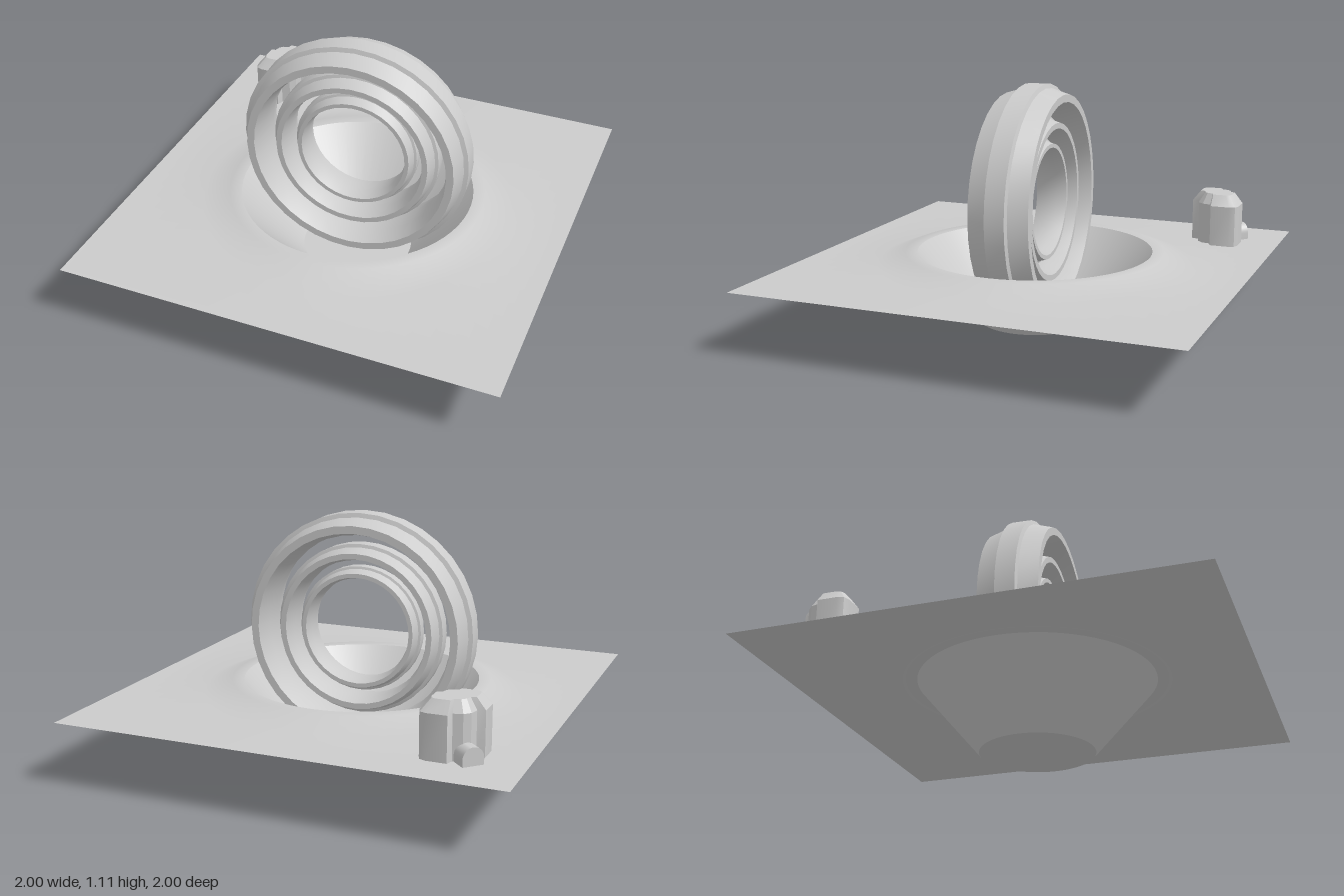
import * as THREE from 'three';
import { toCreasedNormals } from 'three/addons/utils/BufferGeometryUtils.js';

const grey = new THREE.MeshStandardMaterial({ color: 0xcccccc });
const greySheet = new THREE.MeshStandardMaterial({ color: 0xcccccc, side: THREE.DoubleSide });
const PLATE_Y = 0.285, RIM_Y = 0.335;

function addMesh(parent, name, geometry, material = grey) {
  const mesh = new THREE.Mesh(geometry, material);
  mesh.name = name;
  parent.add(mesh);
  return mesh;
}

// Skin closed loops of equal length; each entry of loops is an array of Vector3
function skin(loops) {
  const n = loops[0].length, index = [];
  for (let r = 0; r < loops.length - 1; r++) {
    for (let i = 0; i < n; i++) {
      const a = r * n + i, b = r * n + (i + 1) % n;
      index.push(a, a + n, b, b, a + n, b + n);
    }
  }
  const geometry = new THREE.BufferGeometry().setFromPoints(loops.flat());
  geometry.setIndex(index);
  geometry.computeVertexNormals();
  return geometry;
}

// Square sheet rising to a low rim round the central hole
function plateGeometry() {
  const n = 64;
  const loop = (y, radiusAt) => Array.from({ length: n }, (_, i) => {
    const a = i / n * Math.PI * 2, c = Math.cos(a), s = Math.sin(a), r = radiusAt(c, s);
    return new THREE.Vector3(c * r, y, -s * r);
  });
  return skin([
    loop(RIM_Y, () => 0.545),
    loop(RIM_Y, () => 0.6),
    loop(PLATE_Y, () => 0.73),
    loop(PLATE_Y, (c, s) => 1 / Math.max(Math.abs(c), Math.abs(s))),
  ]);
}

// Ring with a raised middle band and tapering shoulders, axis along z
function ringGeometry() {
  const half = [[0.495, 0.137], [0.46, 0.137], [0.44, 0.05]];
  const profile = [
    [0.495, -0.137], [0.52, -0.052], [0.54, -0.045], [0.54, 0.045], [0.52, 0.052],
    ...half, ...half.slice(1).reverse().map(([r, y]) => [r, -y]), [0.495, -0.137],
  ].map(([r, y]) => new THREE.Vector2(r, y));
  const geometry = new THREE.LatheGeometry(profile, 36);
  geometry.rotateX(Math.PI / 2);
  return toCreasedNormals(geometry, 0.4);
}

// Lobed block with a chamfered top; the outline repeats after half a turn
function blockGeometry() {
  const half = [
    [-0.015, -0.09], [-0.005, -0.123], [0.085, -0.123], [0.112, -0.112], [0.123, -0.085],
    [0.123, 0.005], [0.09, 0.015], [0.08, 0.055], [0.055, 0.08],
  ];
  const outline = [...half, ...half.map(([x, z]) => [-x, -z])].reverse();
  const loop = (y, k) => outline.map(([x, z]) => new THREE.Vector3(x * k, y, z * k));
  const geometry = skin([loop(0.245, 0.001), loop(0.245, 0.68), loop(0.195, 1), loop(0, 1), loop(0, 0.001)]);
  return toCreasedNormals(geometry, 0.4);
}

// Small round-topped doorway, opening along z
function porchGeometry() {
  const shape = new THREE.Shape();
  shape.moveTo(-0.047, 0);
  shape.lineTo(0.047, 0);
  shape.lineTo(0.047, 0.03);
  shape.absarc(0, 0.03, 0.047, 0, Math.PI, false);
  shape.closePath();
  return toCreasedNormals(
    new THREE.ExtrudeGeometry(shape, { depth: 0.11, bevelEnabled: false, curveSegments: 8 }), 0.6);
}

export function createModel() {
  const model = new THREE.Group();
  model.name = 'ringsInPit';

  addMesh(model, 'groundPlate', plateGeometry(), greySheet);

  // Conical pit with a flat floor
  const pit = [[0, 0], [0.26, 0], [0.545, RIM_Y]].map(([r, y]) => new THREE.Vector2(r, y));
  addMesh(model, 'pit', toCreasedNormals(new THREE.LatheGeometry(pit, 64), 0.5), greySheet);

  // Three nested rings, slightly turned
  const rings = new THREE.Group();
  rings.name = 'rings';
  rings.position.y = 0.565;
  rings.rotation.y = 0.053;
  const ring = ringGeometry();
  ['outerRing', 'middleRing', 'innerRing'].forEach((name, i) => {
    addMesh(rings, name, ring).scale.setScalar(Math.pow(0.735, i));
  });
  model.add(rings);

  // Hut at the back right corner, its porch facing the corner
  const hut = new THREE.Group();
  hut.name = 'hut';
  hut.position.set(-0.69, PLATE_Y, -0.695);
  addMesh(hut, 'hutBody', blockGeometry());
  const porch = addMesh(hut, 'hutPorch', porchGeometry());
  porch.rotation.y = -Math.PI * 0.75;
  porch.position.set(-0.03, 0, -0.03);
  model.add(hut);

  return model;
}
